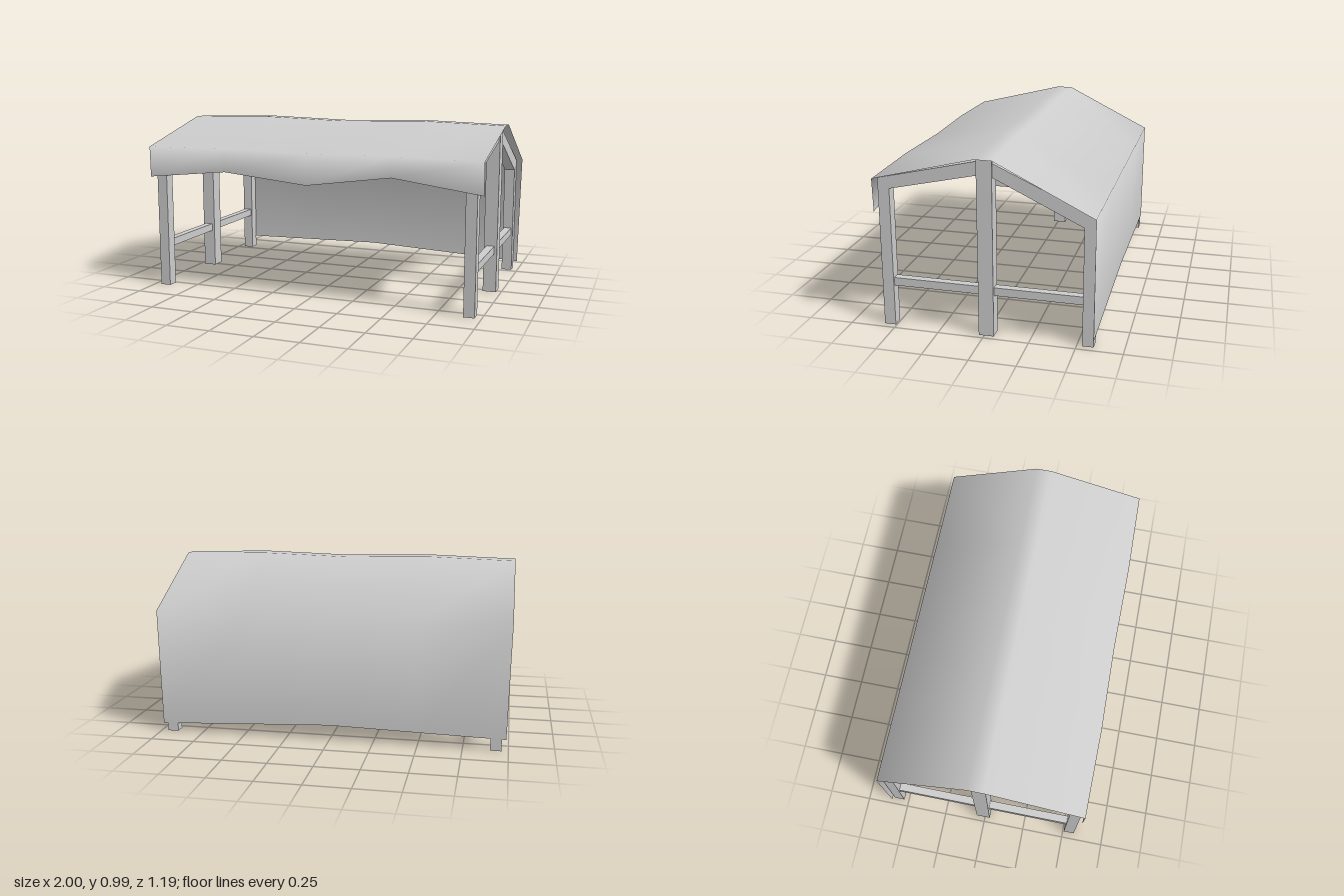
import * as THREE from 'three';

const grey = new THREE.MeshStandardMaterial({ color: 0xcccccc });
grey.name = 'light grey';
const clothGrey = grey.clone();
clothGrey.side = THREE.DoubleSide;
clothGrey.name = 'light grey cloth';

// Timber cut from a side outline of [z, y] points, given a width along x
function timber(name, points, width) {
  const shape = new THREE.Shape(points.map(([z, y]) => new THREE.Vector2(z, y)));
  const geo = new THREE.ExtrudeGeometry(shape, { depth: width, bevelEnabled: false });
  geo.translate(0, 0, -width / 2);
  geo.rotateY(-Math.PI / 2);
  const mesh = new THREE.Mesh(geo, grey);
  mesh.name = name;
  return mesh;
}

const rect = (z0, z1, y0, y1) => [[z0, y0], [z1, y0], [z1, y1], [z0, y1]];

// One end frame: three posts, two rafters and two rails
function endFrame(name) {
  const frame = new THREE.Group();
  frame.name = name;
  frame.add(
    timber('ridgePost', rect(-0.053, 0.03, 0, 0.974), 0.077),
    timber('frontPost', [[0.507, 0], [0.57, 0], [0.57, 0.835], [0.507, 0.78]], 0.062),
    timber('backPost', [[-0.59, 0], [-0.529, 0], [-0.529, 0.653], [-0.59, 0.709]], 0.062),
    timber('frontRafter', [[0.03, 0.885], [0.507, 0.78], [0.57, 0.835], [0.03, 0.96]], 0.062),
    timber('backRafter', [[-0.59, 0.709], [-0.529, 0.653], [-0.053, 0.88], [-0.053, 0.955]], 0.062),
    timber('frontRail', rect(0.03, 0.507, 0.23, 0.275), 0.045),
    timber('backRail', rect(-0.529, -0.053, 0.23, 0.275), 0.045),
  );
  return frame;
}

// Cloth cover: rows run from the front hem over the ridge to the back hem,
// each with heights and depths at five stations along x
function cover() {
  const xs = [-1, -0.5, 0, 0.5, 1];
  const wave = (low, high) => [low, high, low, high, low];
  const rows = [
    { y: [0.66, 0.712, 0.66, 0.73, 0.66], z: wave(0.583, 0.593) },
    { y: wave(0.839, 0.845), z: wave(0.587, 0.594) },
    { y: wave(0.978, 0.991), z: wave(0.03, 0.03) },
    { y: wave(0.977, 0.99), z: wave(-0.063, -0.063) },
    { y: wave(0.713, 0.713), z: wave(-0.594, -0.594) },
    { y: [0.068, 0.079, 0.09, 0.068, 0.045], z: wave(-0.593, -0.593), spread: 0.987 },
  ];
  const positions = [];
  const index = [];
  const n = xs.length;
  rows.forEach((row, i) => {
    xs.forEach((x, j) => {
      positions.push(x * (row.spread ?? 1), row.y[j], row.z[j]);
      if (i > 0 && j > 0) {
        const d = i * n + j, c = d - 1, b = d - n, a = b - 1;
        index.push(a, b, d, a, d, c);
      }
    });
  });
  const geo = new THREE.BufferGeometry();
  geo.setAttribute('position', new THREE.Float32BufferAttribute(positions, 3));
  geo.setIndex(index);
  geo.computeVertexNormals();
  const mesh = new THREE.Mesh(geo, clothGrey);
  mesh.name = 'clothCover';
  return mesh;
}

export function createModel() {
  const model = new THREE.Group();
  model.name = 'shelter';
  for (const side of [-1, 1]) {
    const frame = endFrame(side > 0 ? 'leftFrame' : 'rightFrame');
    frame.position.x = side * 0.932;
    model.add(frame);
  }
  model.add(cover());
  return model;
}
